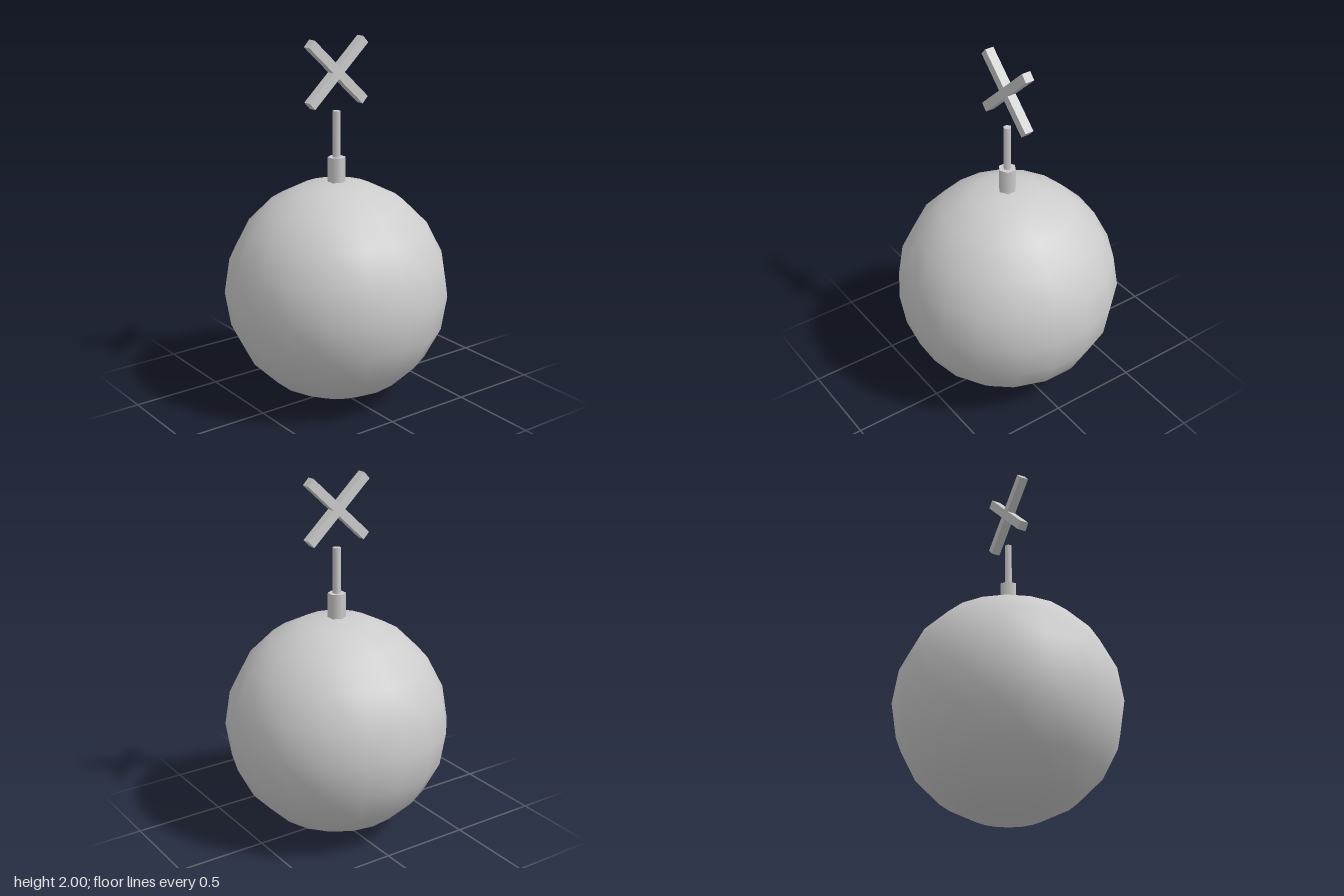
import * as THREE from 'three';

export function createModel() {
  const group = new THREE.Group();
  const grey = new THREE.MeshStandardMaterial({ color: 0xcccccc });
  grey.name = 'plain grey';

  function add(name, geometry, y) {
    const mesh = new THREE.Mesh(geometry, grey);
    mesh.name = name;
    mesh.position.y = y;
    group.add(mesh);
    return mesh;
  }

  // Round body, smooth shaded with a coarse outline
  const radius = 0.617;
  add('body', new THREE.SphereGeometry(radius, 18, 10), radius + 0.003);

  // Six-sided collar and fuse, corners pointing along x
  function hexPost(name, r, bottom, top) {
    const post = new THREE.CylinderGeometry(r, r, top - bottom, 6).rotateY(Math.PI / 2);
    add(name, post, (bottom + top) / 2);
  }
  hexPost('collar', 0.049, 1.215, 1.365);
  hexPost('fuse', 0.022, 1.36, 1.615);

  // Crossed spark bars floating above the fuse
  for (const side of [-1, 1]) {
    const bar = add('sparkBar', new THREE.BoxGeometry(0.05, 0.05, 0.474), 1.82);
    bar.rotation.x = side * THREE.MathUtils.degToRad(43);
  }

  return group;
}
